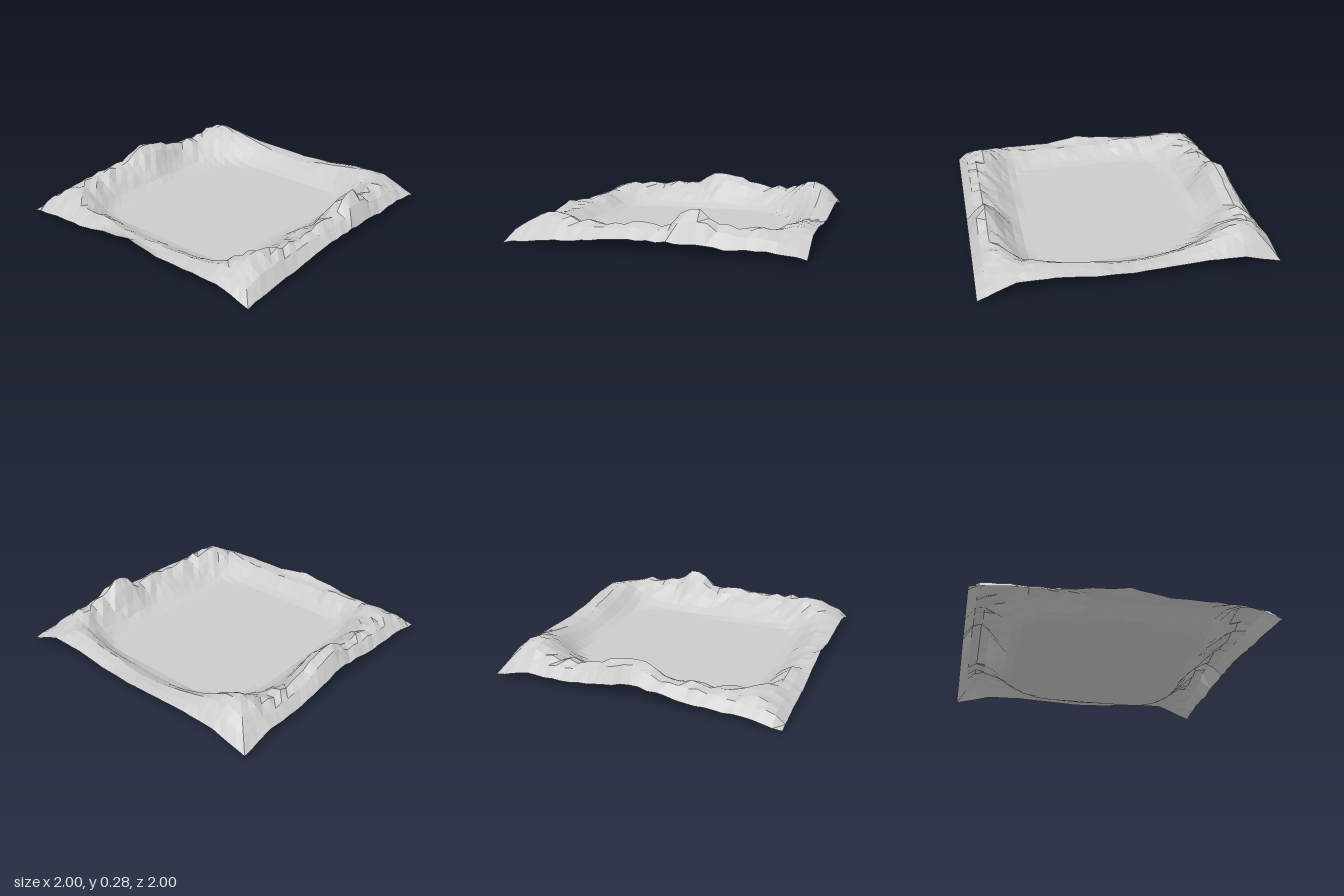
import * as THREE from 'three';

// Each side of the basin, sampled from -1 to 1 along x or z:
// ridge = crest height, edge = height at the outer border, foot = where the slope meets the floor
const sides = {
  back: {
    ridge: [.24, .24, .21, .18, .15, .13, .11, .10, .09, .10, .12, .14, .15, .17, .18, .16, .16],
    edge: [.03, .10, .11, .10, .09, .10, .13, .13, .03], foot: .31, rough: .006,
  },
  front: {
    ridge: [.16, .15, .12, .11, .12, .11, .09, .08, .08, .08, .08, .09, .10, .11, .13, .16, .19],
    edge: [.02, .05, .05, .09, .12, .08, .08, .08, .01], foot: .31, rough: .015,
  },
  left: {
    ridge: [.16, .17, .18, .17, .18, .27, .26, .17, .16, .17, .17, .15, .16, .17, .18, .20, .19],
    edge: [.03, .07, .06, .08, .08, .08, .05, .04, .01], foot: .38, rough: .024,
  },
  right: {
    ridge: [.24, .22, .18, .17, .17, .18, .20, .26, .28, .22, .18, .17, .18, .16, .15, .17, .16],
    edge: [.03, .08, .07, .09, .14, .10, .07, .06, .02], foot: .38, rough: .024,
  },
};

const CREST = 0.125; // distance of the crest from the border

function sample(list, t) {
  const p = (t + 1) / 2 * (list.length - 1);
  const i = Math.max(0, Math.min(list.length - 2, Math.floor(p)));
  return THREE.MathUtils.lerp(list[i], list[i + 1], p - i);
}

// Repeatable noise from -1 to 1 for each grid point
function noise(x, z) {
  const s = Math.sin(Math.round(x * 16) * 12.9898 + Math.round(z * 16) * 78.233) * 43758.5453;
  return (s - Math.floor(s)) * 2 - 1;
}

function heightAt(x, z) {
  const ax = Math.abs(x), az = Math.abs(z);
  const m = Math.max(ax, az);
  if (m < 0.4) return 0;
  const xSide = x > 0 ? sides.left : sides.right;
  const zSide = z > 0 ? sides.front : sides.back;
  const side = ax > az ? xSide : zSide;
  const t = (ax > az ? z : x) / m;
  const ridge = sample(side.ridge, t), edge = sample(side.edge, t);
  const border = 1 - m;
  // the crest follows a square with rounded corners
  const inner = 1 - (ax ** 5 + az ** 5) ** 0.2;

  // outer face, from the border up to the crest
  if (inner < CREST) {
    const k = border / (border + CREST - inner);
    const rise = k * (2 - k);
    return edge + (ridge - edge) * rise + noise(x, z) * side.rough * (0.3 + 0.5 * k);
  }
  // inner slope; the back right corner and the middle of the left side reach further in
  const share = ax ** 8 / (ax ** 8 + az ** 8);
  const foot = THREE.MathUtils.lerp(zSide.foot, xSide.foot, share)
    + 0.08 * Math.exp(-((x + 0.6) ** 2 + (z + 0.7) ** 2) * 20)
    + 0.07 * Math.exp(-((x - 0.6) ** 2 + (z - 0.2) ** 2) * 20);
  const fall = 1 - THREE.MathUtils.smoothstep(inner, CREST - 0.02, foot);
  return Math.max(0, fall * (ridge + noise(x, z) * side.rough));
}

export function createModel() {
  const group = new THREE.Group();
  group.name = 'terrain';

  const geometry = new THREE.PlaneGeometry(2, 2, 32, 32);
  geometry.rotateX(-Math.PI / 2).rotateY(Math.PI / 2);
  const pos = geometry.attributes.position;
  for (let i = 0; i < pos.count; i++) pos.setY(i, heightAt(pos.getX(i), pos.getZ(i)));
  geometry.computeVertexNormals();

  const basin = new THREE.Mesh(geometry, new THREE.MeshStandardMaterial({
    color: 0xcccccc, flatShading: true, side: THREE.DoubleSide,
  }));
  basin.name = 'mountainRimmedBasin';
  group.add(basin);
  return group;
}
